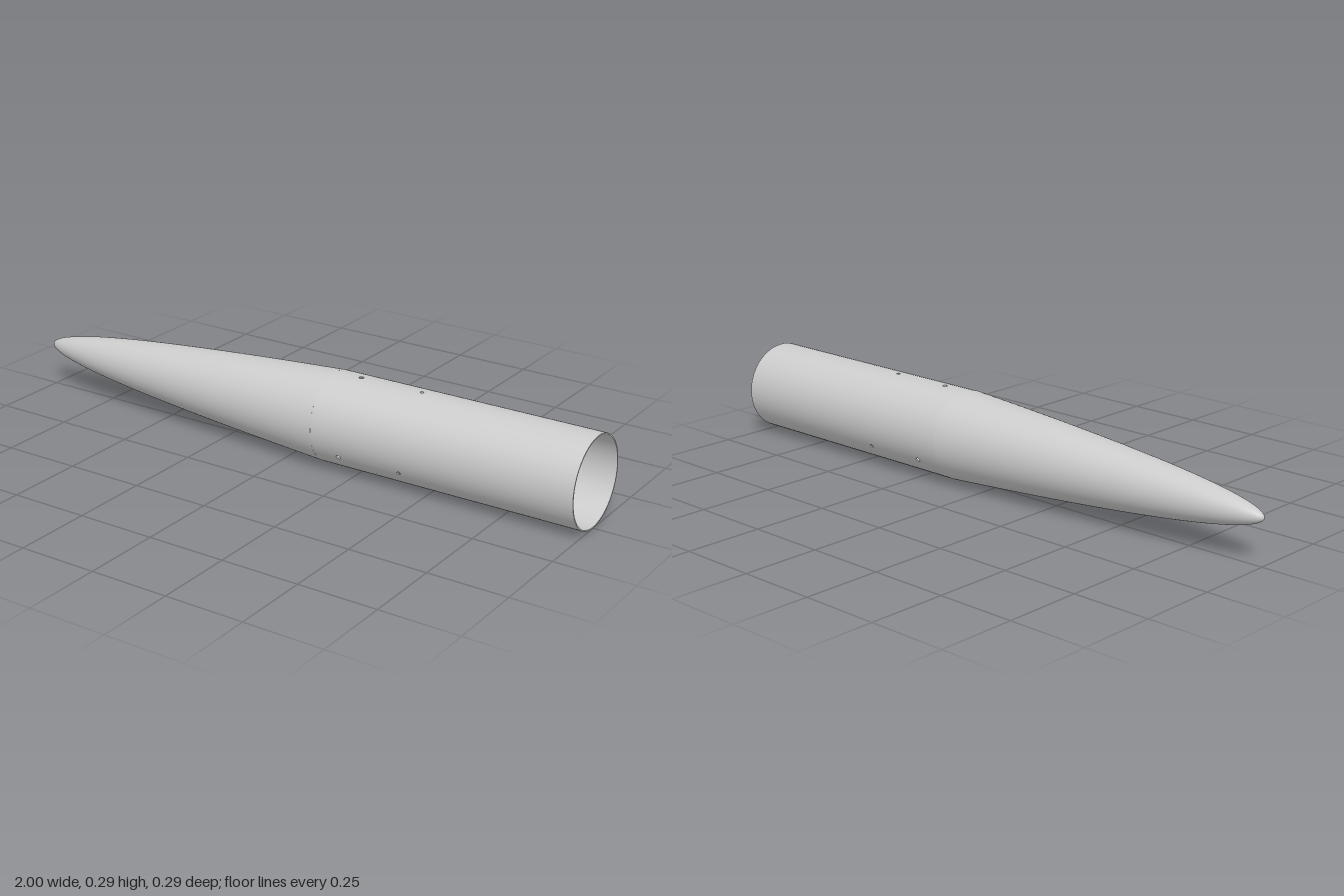
import * as THREE from 'three';
import { mergeGeometries } from 'three/addons/utils/BufferGeometryUtils.js';

const R = 0.143, WALL = 0.004, RIN = R - WALL;
const AXIS_Y = 0.146, SHOULDER = 0.13, TAIL = 1, TIP = -1;
const PANELS = 48;

const material = new THREE.MeshStandardMaterial({ color: 0xcccccc });
const thinMaterial = new THREE.MeshStandardMaterial({ color: 0xcccccc, side: THREE.DoubleSide });

// Hollow tube: narrow flat panels, some drilled, bent round the x axis
function tubeGeometry() {
  const half = (Math.PI / PANELS) * R;
  const parts = [];
  for (let i = 0; i < PANELS; i++) {
    const panel = new THREE.Shape([
      new THREE.Vector2(SHOULDER, -half), new THREE.Vector2(TAIL, -half),
      new THREE.Vector2(TAIL, half), new THREE.Vector2(SHOULDER, half),
    ]);
    if (i % (PANELS / 3) === 0) {
      for (const [x, r] of [[0.22, 0.008], [0.43, 0.006]]) {
        panel.holes.push(new THREE.Path().absarc(x, 0, r, 0, Math.PI * 2, true));
      }
    }
    const geo = new THREE.ExtrudeGeometry(panel, { depth: WALL, bevelEnabled: false, curveSegments: 10 });
    const pos = geo.attributes.position, nor = geo.attributes.normal;
    const centre = Math.PI / 2 + (i / PANELS) * Math.PI * 2;
    for (let k = 0; k < pos.count; k++) {
      const a = centre + pos.getY(k) / R, r = RIN + pos.getZ(k);
      const s = Math.sin(a), c = Math.cos(a), nu = nor.getY(k), nr = nor.getZ(k);
      pos.setXYZ(k, pos.getX(k), r * s, r * c);
      nor.setXYZ(k, nor.getX(k), nr * s + nu * c, nr * c - nu * s);
    }
    parts.push(geo);
  }
  return mergeGeometries(parts);
}

// Parabolic nose: radius grows with the square root of the distance from the tip
function noseGeometry(radius, tip, inside) {
  const points = [];
  const steps = 40;
  for (let i = 0; i <= steps; i++) {
    const t = i / steps;
    points.push(new THREE.Vector2(radius * t, tip + (SHOULDER - tip) * t * t));
  }
  if (inside) points.reverse();
  return new THREE.LatheGeometry(points, PANELS * 2).rotateZ(-Math.PI / 2);
}

// U-shaped bolt: two legs joined by a half circle
function boltGeometry(base, bend, r) {
  const path = new THREE.CurvePath();
  const pts = [new THREE.Vector3(base, -r, 0), new THREE.Vector3((base + bend) / 2, -r, 0)];
  for (let i = 0; i <= 12; i++) {
    const a = -Math.PI / 2 + (i / 12) * Math.PI;
    pts.push(new THREE.Vector3(bend + r * Math.cos(a), r * Math.sin(a), 0));
  }
  pts.push(new THREE.Vector3((base + bend) / 2, r, 0), new THREE.Vector3(base, r, 0));
  return new THREE.TubeGeometry(new THREE.CatmullRomCurve3(pts), 64, 0.009, 10);
}

export function createModel() {
  const model = new THREE.Group();
  model.name = 'noseCone';
  const add = (name, geometry, mat = material) => {
    const mesh = new THREE.Mesh(geometry, mat);
    mesh.name = name;
    mesh.position.y = AXIS_Y;
    model.add(mesh);
    return mesh;
  };

  add('noseOuterSkin', noseGeometry(R, TIP, false));
  add('noseInnerSkin', noseGeometry(RIN, TIP + 0.02, true));
  add('bodyTube', tubeGeometry());

  // Inner sleeve and the bulkhead that closes it
  add('couplerSleeve', new THREE.CylinderGeometry(0.135, 0.135, 0.4, PANELS, 1, true)
    .rotateZ(-Math.PI / 2).translate(0.5, 0, 0), thinMaterial);
  add('bulkhead', new THREE.CylinderGeometry(RIN, RIN, 0.02, PANELS)
    .rotateZ(-Math.PI / 2).translate(0.7, 0, 0));

  const bolt = add('uBolt', boltGeometry(0.7, 0.845, 0.066));
  bolt.rotation.x = 0.1;

  return model;
}
